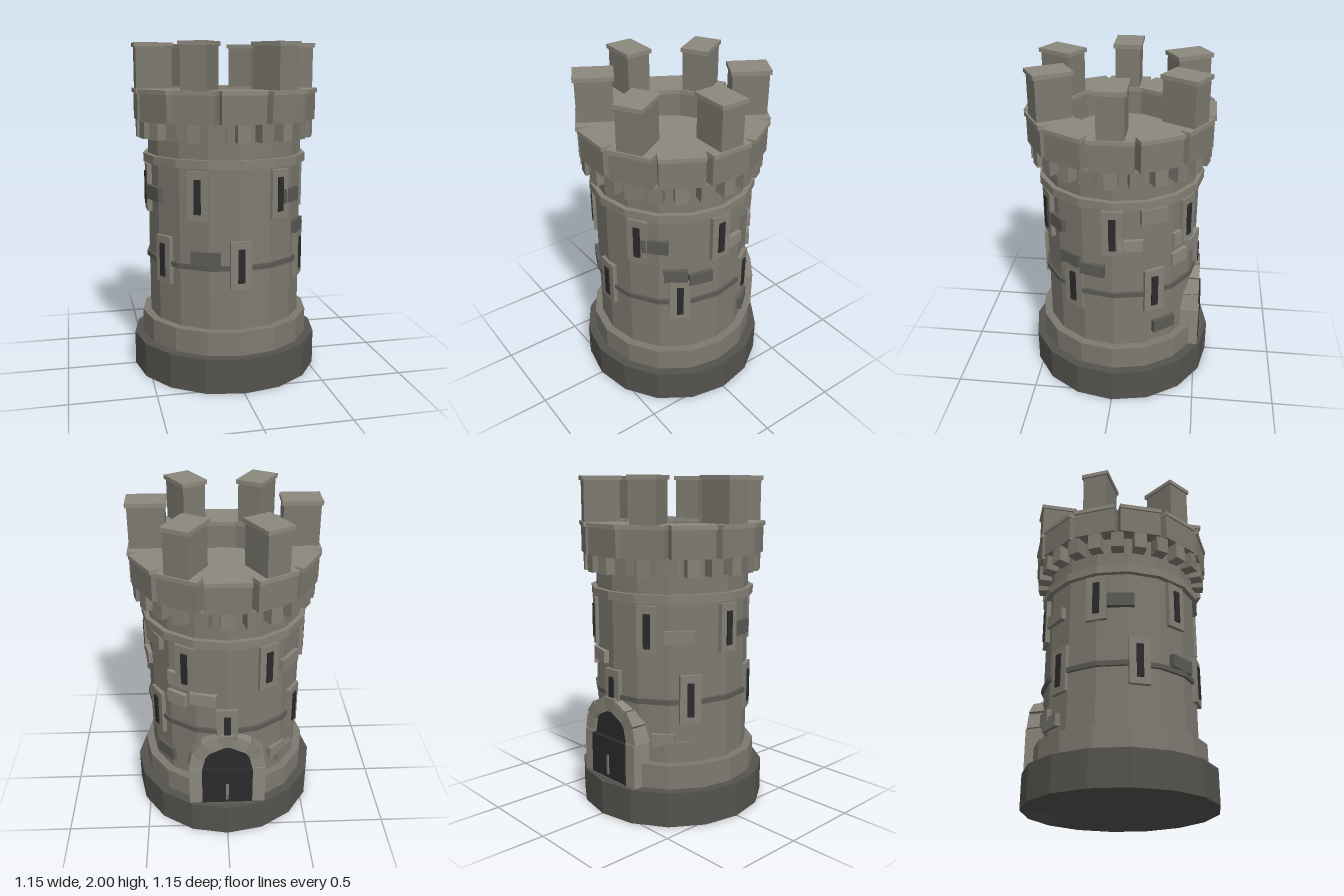
import * as THREE from 'three';

const mat = (color) => new THREE.MeshStandardMaterial({ color, flatShading: true, roughness: 0.95 });

export function createModel() {
  const tower = new THREE.Group();
  tower.name = 'tower';
  const stone = mat(0x7d7a70), light = mat(0x8c887d), trim = mat(0x858176);
  const dark = mat(0x5c5a55), baseMat = mat(0x55534f), black = mat(0x2b2b2d);

  const add = (parent, name, geometry, material, x = 0, y = 0, z = 0) => {
    const mesh = new THREE.Mesh(geometry, material);
    mesh.name = name;
    mesh.position.set(x, y, z);
    parent.add(mesh);
    return mesh;
  };
  // sixteen-sided drum between two heights
  const drum = (name, r, y0, y1, material) =>
    add(tower, name, new THREE.CylinderGeometry(r, r, y1 - y0, 16), material, 0, (y0 + y1) / 2, 0);
  // group turned so its +x axis points outward at the given angle (0 = +x, 90 = +z)
  const spoke = (name, degrees) => {
    const g = new THREE.Group();
    g.name = name;
    g.rotation.y = -THREE.MathUtils.degToRad(degrees);
    tower.add(g);
    return g;
  };
  // box reaching radially from r0 to r1, w wide, between two heights
  const block = (parent, name, r0, r1, w, y0, y1, material) =>
    add(parent, name, new THREE.BoxGeometry(r1 - r0, y1 - y0, w), material, (r0 + r1) / 2, (y0 + y1) / 2, 0);

  // Main drums and bands
  drum('base', 0.575, 0, 0.21, baseMat);
  drum('plinth', 0.52, 0.21, 0.355, stone);
  drum('body', 0.47, 0.355, 1.55, stone);
  drum('lowerBand', 0.486, 0.71, 0.74, dark);
  drum('upperBand', 0.5, 1.3, 1.35, trim);
  drum('roofFloor', 0.32, 1.54, 1.57, light);

  // Corbels under the parapet
  for (let i = 0; i < 24; i++) {
    block(spoke('corbel', i * 15), 'corbelBlock', 0.42, 0.538, 0.075, 1.45, 1.55, i % 2 ? stone : trim);
  }

  // Parapet segments, with a merlon on every second one
  for (let i = 0; i < 12; i++) {
    const g = spoke('parapet', i * 30);
    block(g, 'parapetWall', 0.325, 0.54, 0.25, 1.55, 1.71, stone);
    block(g, 'parapetCap', 0.32, 0.55, 0.256, 1.71, 1.735, light);
    if (i % 2 === 0) {
      block(g, 'merlon', 0.33, 0.54, 0.15, 1.735, 1.975, stone);
      block(g, 'merlonCap', 0.32, 0.55, 0.17, 1.975, 2, light);
    }
  }

  // Two staggered rows of slit windows
  for (let i = 0; i < 12; i++) {
    const g = spoke('window', i * 30);
    const y = i % 2 ? 0.6 : 1.0;
    block(g, 'windowFrame', 0.42, 0.486, 0.125, y, y + 0.285, trim);
    block(g, 'windowSlit', 0.42, 0.495, 0.04, y + 0.04, y + 0.24, black);
  }

  // Odd stones standing proud of the wall: angle, bottom, width, height, material
  [
    [115, 0.74, 0.17, 0.08, dark], [48, 1.08, 0.16, 0.085, dark], [33, 0.88, 0.14, 0.08, dark],
    [15, 0.85, 0.15, 0.075, dark], [-12, 1.03, 0.15, 0.07, light], [-29, 1.2, 0.16, 0.09, trim],
    [-53, 1.0, 0.13, 0.09, light], [-52, 0.87, 0.13, 0.085, light], [-73, 0.91, 0.16, 0.075, light],
    [-39, 0.43, 0.15, 0.08, dark], [218, 1.07, 0.17, 0.075, trim], [229, 0.46, 0.13, 0.075, trim],
    [220, 0.41, 0.16, 0.075, stone], [163, 1.08, 0.16, 0.085, dark],
  ].forEach(([angle, y, w, h, m]) => block(spoke('proudStone', angle), 'stoneBlock', 0.42, 0.487, w, y, y + h, m));

  // Door at the back: +x of this group points to -z
  const door = spoke('door', -90);
  const springY = 0.475;
  block(door, 'doorPanel', 0.4, 0.523, 0.31, 0.205, springY - 0.01, black);
  const lunette = add(door, 'doorArchPanel',
    new THREE.CylinderGeometry(0.17, 0.17, 0.09, 16), black, 0.447, springY, 0);
  lunette.rotation.z = Math.PI / 2;
  block(door, 'doorHandle', 0.5, 0.53, 0.016, 0.24, 0.36, stone);
  block(door, 'doorStep', 0.42, 0.54, 0.3, 0, 0.215, dark);
  for (const side of [-1, 1]) {
    block(door, 'doorJamb', 0.38, 0.515, 0.08, 0.21, springY, light).position.z = side * 0.193;
  }
  // Arch stones around the door head
  for (let i = 0; i < 7; i++) {
    const a = (i + 0.5) * Math.PI / 7, r = i % 2 ? 0.197 : 0.19;
    const v = add(door, 'archStone', new THREE.BoxGeometry(0.13, 0.085, 0.095), i % 2 ? trim : light,
      0.443, springY + r * Math.sin(a), r * Math.cos(a));
    v.rotation.x = Math.PI / 2 - a;
  }
  return tower;
}
